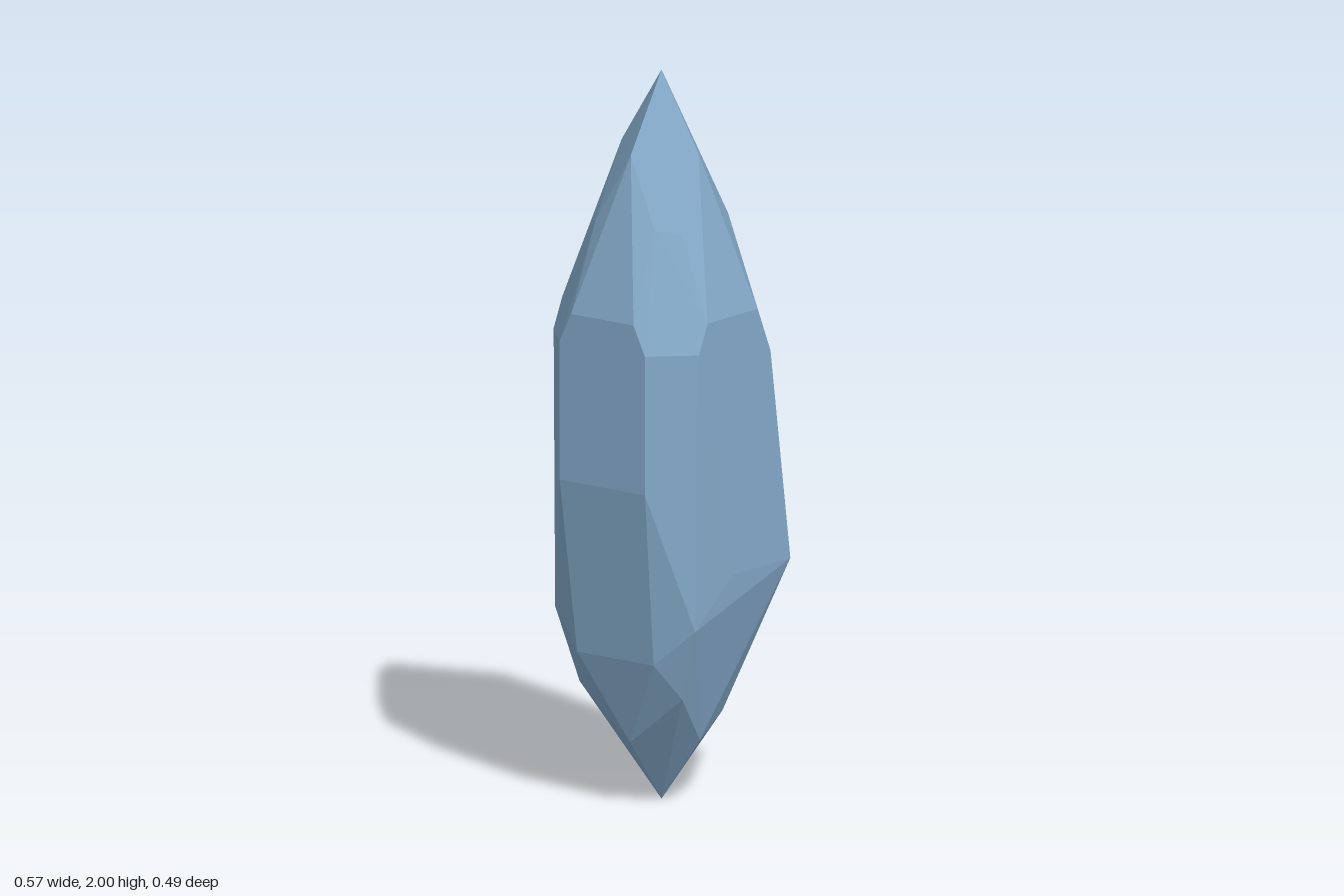
import * as THREE from 'three';
import { ConvexGeometry } from 'three/addons/geometries/ConvexGeometry.js';

// Corners on the middle plane
const ridge = [
  [-0.04, 2, 0.005], [-0.172, 1.79, 0.005], [0.207, 1.59, 0.005],
  [0.287, 0.7, 0.015], [0.08, 0.17, 0.005], [-0.175, 0.18, 0.005], [-0.04, 0, 0.005],
];

// Corners that occur on both front and back
const paired = [
  // upper facets
  [-0.04, 1.79, 0.13], [-0.14, 1.59, 0.15], [-0.19, 1.6, 0.1], [0.125, 1.59, 0.1],
  // shoulder
  [-0.148, 1.36, 0.247], [0.065, 1.36, 0.247], [-0.288, 1.36, 0.106], [0.207, 1.36, 0.11],
  // upper edge of the body
  [-0.185, 1.28, 0.247], [-0.288, 1.28, 0.145], [-0.04, 1.235, 0.247],
  [0.122, 1.235, 0.247], [0.207, 1.235, 0.165],
  // lower edge of the body
  [-0.288, 0.9, 0.145], [0.207, 0.65, 0.247], [-0.04, 0.65, 0.247], [-0.19, 0.52, 0.238],
  // lower facets
  [-0.232, 0.42, 0.13], [-0.165, 0.32, 0.175], [0.07, 0.24, 0.125], [-0.04, 0.18, 0.135],
];

// Extra corner on the back shoulder
const backOnly = [[0.065, 1.59, -0.158]];

export function createModel() {
  const group = new THREE.Group();
  group.name = 'crystal';
  const material = new THREE.MeshStandardMaterial({ color: 0x85abcb, flatShading: true });

  const corners = [
    ...ridge, ...backOnly, ...paired,
    ...paired.map(([x, y, z]) => [x, y, -z]),
  ].map((p) => new THREE.Vector3(...p));

  // Two faceted hulls share the belt between y 1.2 and 1.4
  const addPart = (name, test) => {
    const mesh = new THREE.Mesh(new ConvexGeometry(corners.filter(test)), material);
    mesh.name = name;
    group.add(mesh);
  };
  addPart('crystalTip', (p) => p.y > 1.2);
  addPart('crystalBody', (p) => p.y < 1.4);

  return group;
}
